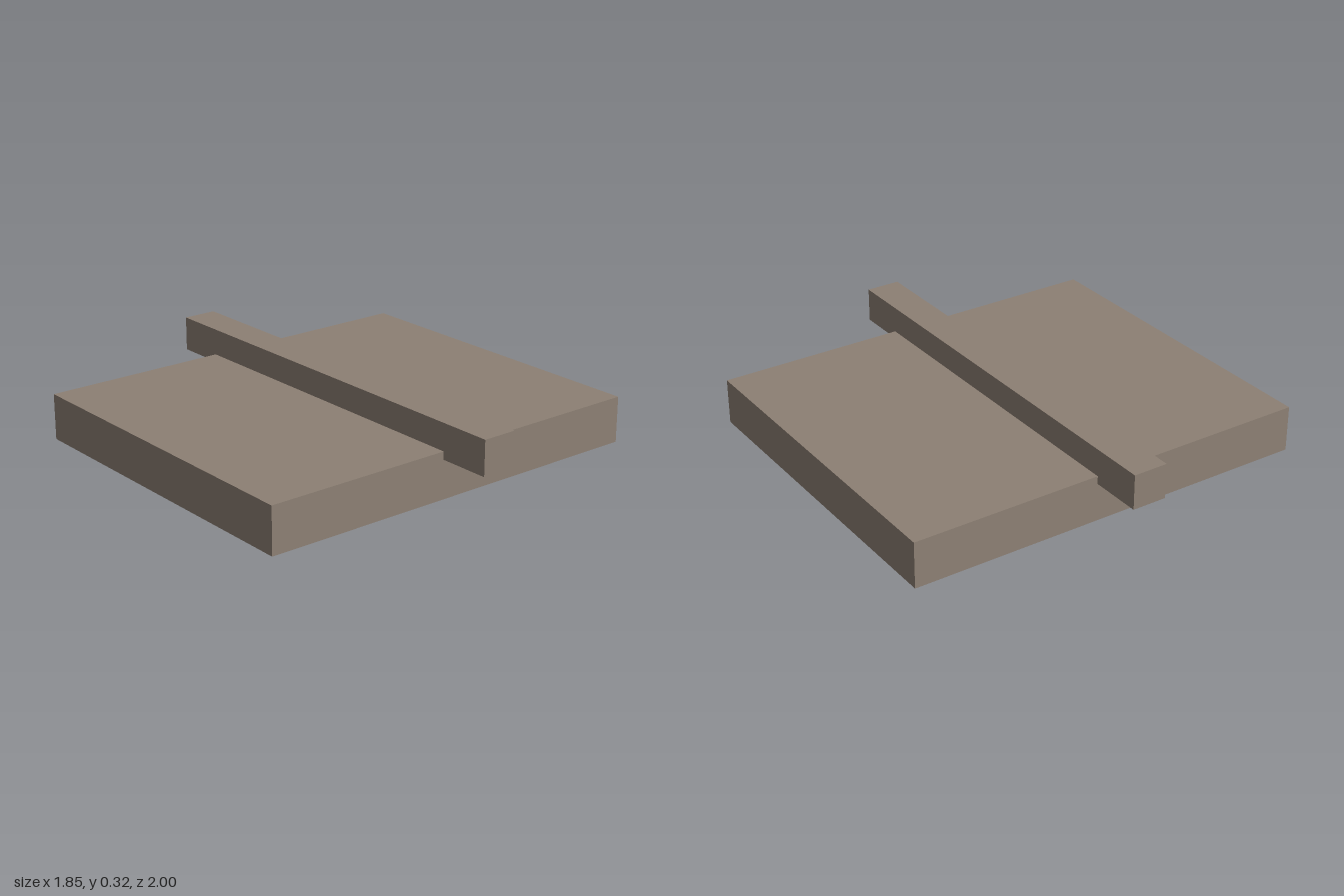
import * as THREE from 'three';

export function createModel() {
  const model = new THREE.Group();
  model.name = 'slabWithRidgeBeam';

  const stone = new THREE.MeshStandardMaterial({ color: 0x8d8074 });
  stone.name = 'warm grey';

  // Box placed by its size and the height of its underside
  function addBlock(name, width, height, depth, bottom) {
    const mesh = new THREE.Mesh(new THREE.BoxGeometry(width, height, depth), stone);
    mesh.name = name;
    mesh.position.y = bottom + height / 2;
    model.add(mesh);
  }

  // Broad flat slab
  addBlock('slab', 1.846, 0.205, 1.538, 0);
  // Square beam sunk into the slab, overhanging front and back
  addBlock('beam', 0.154, 0.154, 2, 0.17);

  return model;
}
